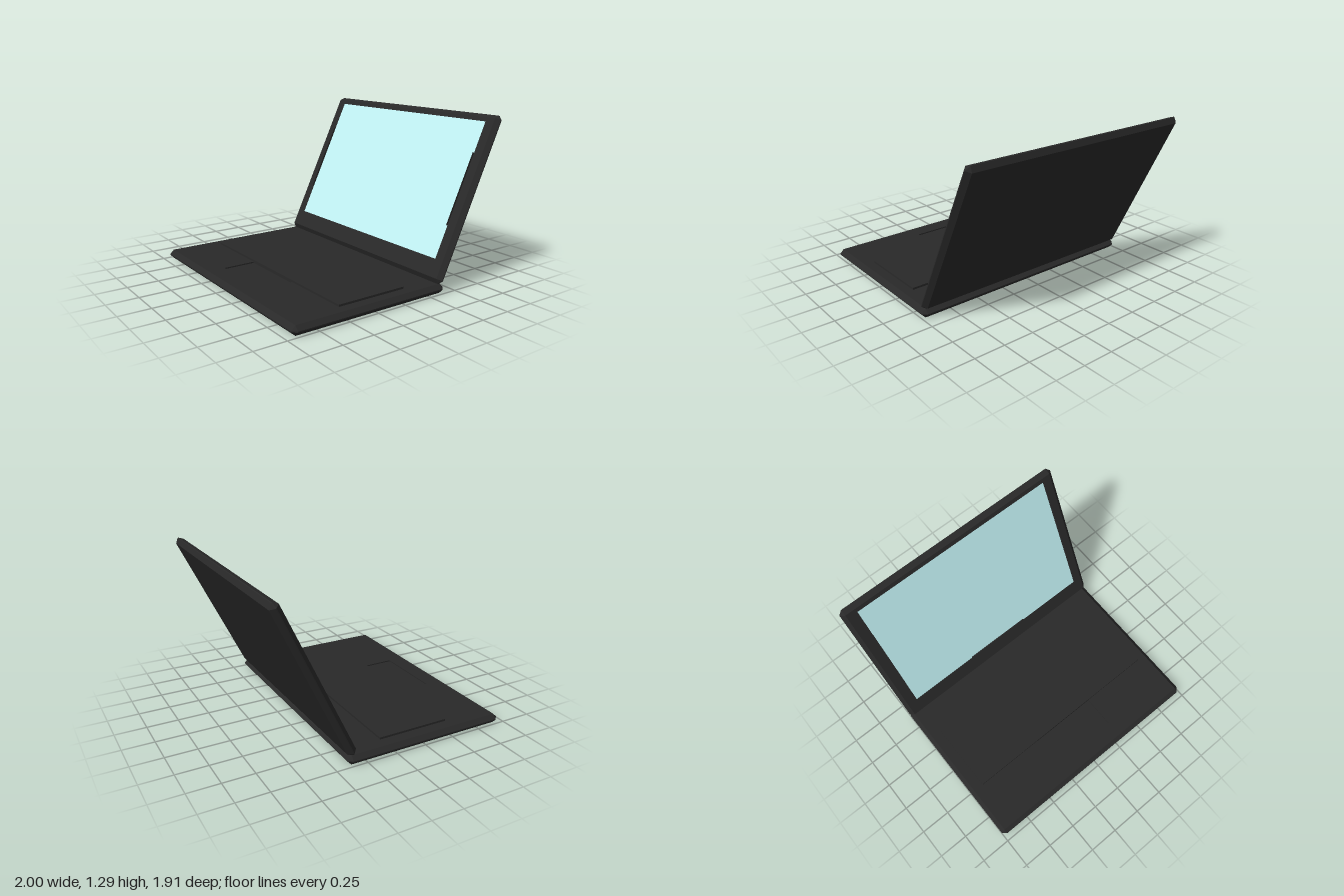
import * as THREE from 'three';
import { ConvexGeometry } from 'three/addons/geometries/ConvexGeometry.js';

const HALF = { x: 1, y: 0.037, z: 0.676 };
const BEVEL = 0.033;
// Rectangles on the inner face of a panel: x0, x1, z0, z1
const STEP = [-0.88, 0.89, -0.352, 0.238];
const POCKET = [-0.28, 0.3, 0.238, 0.505];
const SCREEN = [-0.88, 0.89, -0.608, 0.505];
const STEP_HEIGHT = 0.016;
const POCKET_DEPTH = 0.01;
// Box sides in the order BoxGeometry builds them
const [RIGHT, LEFT, TOP, BOTTOM, FRONT, BACK] = [0, 1, 2, 3, 4, 5];

const dark = new THREE.MeshStandardMaterial({ color: 0x292929, flatShading: true, side: THREE.DoubleSide });
const glass = new THREE.MeshStandardMaterial({ color: 0xc2f2f5, side: THREE.DoubleSide });

function addMesh(parent, name, geometry, material) {
  const mesh = new THREE.Mesh(geometry, material);
  mesh.name = name;
  parent.add(mesh);
}

// Flat face of a panel's inner side, with a rectangular hole
function innerFace(hole) {
  const corners = (x0, x1, z0, z1) =>
    [[x0, -z1], [x1, -z1], [x1, -z0], [x0, -z0]].map((p) => new THREE.Vector2(...p));
  const x = HALF.x - BEVEL;
  const z = HALF.z - BEVEL;
  const shape = new THREE.Shape(corners(-x, x, -z, z));
  shape.holes.push(new THREE.Path(corners(...hole).reverse()));
  return new THREE.ShapeGeometry(shape).rotateX(-Math.PI / 2).translate(0, HALF.y, 0);
}

// Open box made of the chosen sides only
function openBox([x0, x1, z0, z1], y0, y1, sides) {
  const geometry = new THREE.BoxGeometry(x1 - x0, y1 - y0, z1 - z0);
  const index = Array.from(geometry.index.array);
  geometry.setIndex(sides.flatMap((side) => index.slice(side * 6, side * 6 + 6)));
  geometry.clearGroups();
  return geometry.translate((x0 + x1) / 2, (y0 + y1) / 2, (z0 + z1) / 2);
}

// Box with single-step bevels, left open on top
function bevelledShell() {
  const { x, y, z } = HALF;
  const points = [];
  for (const sx of [-1, 1]) for (const sy of [-1, 1]) for (const sz of [-1, 1]) {
    const add = (px, py, pz) => points.push(new THREE.Vector3(sx * px, sy * py, sz * pz));
    add(x - BEVEL, y, z - BEVEL);
    add(x, y - BEVEL, z - BEVEL);
    add(x - BEVEL, y - BEVEL, z);
  }
  const hull = new ConvexGeometry(points);
  const position = hull.getAttribute('position');
  const normal = hull.getAttribute('normal');
  const kept = [];
  for (let i = 0; i < position.count; i += 3) {
    if (normal.getY(i) > 0.99) continue;
    kept.push(...position.array.slice(i * 3, i * 3 + 9));
  }
  const shell = new THREE.BufferGeometry();
  shell.setAttribute('position', new THREE.Float32BufferAttribute(kept, 3));
  shell.computeVertexNormals();
  return shell;
}

// One sheet over the screen opening, dipping to the notch in its lower edge
function screenSheet() {
  const [x0, x1, z0, z1] = SCREEN;
  const columns = [x0, POCKET[0], POCKET[0], POCKET[1], POCKET[1], x1];
  const sheet = new THREE.PlaneGeometry(1, 1, 5, 1).rotateX(-Math.PI / 2);
  const position = sheet.getAttribute('position');
  for (let i = 0; i < position.count; i++) {
    const column = i % 6;
    const lower = i >= 6;
    const dip = lower && (column === 2 || column === 3) ? POCKET_DEPTH : 0;
    position.setXYZ(i, columns[column], HALF.y - dip, lower ? z1 : z0);
  }
  return sheet;
}

// Shell and inner face shared by both halves of the clamshell
function panel(name, hole) {
  const group = new THREE.Group();
  group.name = name;
  addMesh(group, name + 'Shell', bevelledShell(), dark);
  addMesh(group, name + 'InnerFace', innerFace(hole), dark);
  return group;
}

export function createModel() {
  const model = new THREE.Group();
  model.name = 'laptop';
  const stepTop = HALF.y + STEP_HEIGHT;
  const pocketFloor = HALF.y - POCKET_DEPTH;

  // Base with raised keyboard and sunken trackpad
  const base = panel('base', POCKET);
  base.position.set(0, HALF.y, 0.276);
  addMesh(base, 'keyboard', openBox(STEP, HALF.y, stepTop, [RIGHT, LEFT, TOP, FRONT, BACK]), dark);
  addMesh(base, 'trackpad', openBox(POCKET, pocketFloor, HALF.y, [RIGHT, LEFT, BOTTOM, FRONT, BACK]), dark);
  model.add(base);

  // Lid tipped back, with the screen between two low side rails
  const lid = panel('lid', SCREEN);
  lid.position.set(0, 0.682, -0.643);
  lid.rotation.x = THREE.MathUtils.degToRad(64.4);
  addMesh(lid, 'screen', screenSheet(), glass);
  addMesh(lid, 'screenSideRails', openBox(STEP, HALF.y, stepTop, [RIGHT, LEFT]), dark);
  addMesh(lid, 'screenNotch', openBox(POCKET, pocketFloor, HALF.y, [FRONT]), dark);
  model.add(lid);

  return model;
}
